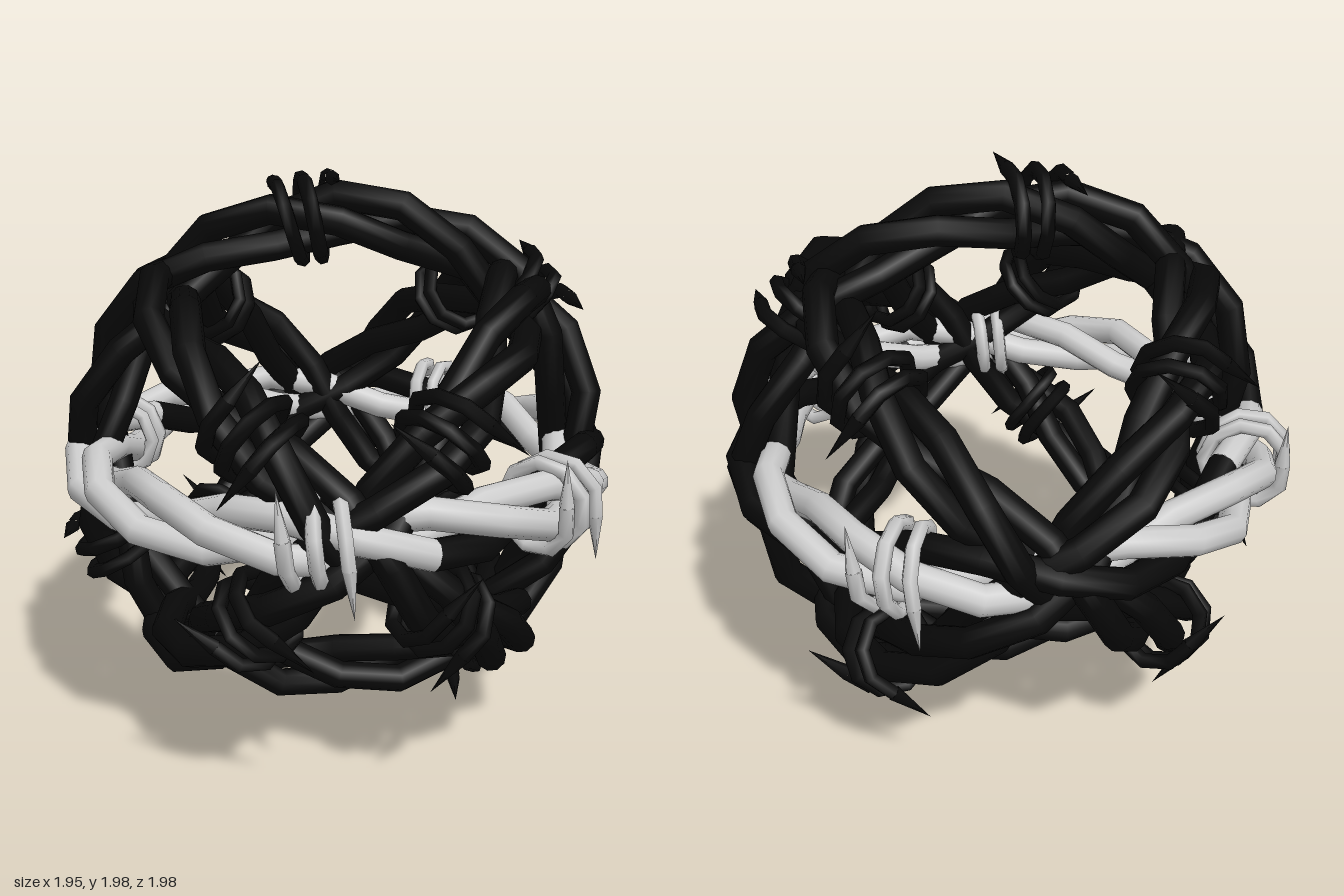
import * as THREE from 'three';

const RING = 0.853, TWISTS = 4;
const WIRE_OFFSET = 0.074, WIRE_RADIUS = 0.052;
const BARB_ANGLES = [41, 97, 200, 302];
const black = new THREE.MeshStandardMaterial({ color: 0x080808 });
const grey = new THREE.MeshStandardMaterial({ color: 0xcccccc });
const rad = THREE.MathUtils.degToRad;

// point at angle a along the ring, offset by radius r at angle b around it
const ringPoint = (a, r, b) => {
  const d = RING + r * Math.cos(b);
  return new THREE.Vector3(d * Math.cos(a), d * Math.sin(a), r * Math.sin(b));
};

class Strand extends THREE.Curve {
  constructor(phase, from, to, offset) {
    super();
    Object.assign(this, { phase, from, to, offset });
  }
  getPoint(t) {
    const a = this.from + (this.to - this.from) * t;
    return ringPoint(a + this.offset, WIRE_OFFSET, this.phase - TWISTS * a);
  }
}

function mesh(geometry, material, name) {
  const m = new THREE.Mesh(geometry, material);
  m.name = name;
  return m;
}

// one of the three twisted wires, between two angles along the ring
function strand(index, from, to, offset, material) {
  const path = new Strand(rad(96 + index * 120), rad(from), rad(to), rad(offset));
  const segments = Math.round((to - from) / 15);
  return mesh(new THREE.TubeGeometry(path, segments, WIRE_RADIUS, 10, to - from === 360), material, 'wireStrand');
}

// wire coiled twice around the ring, with a sharp spike at each end
function barb(angle, material) {
  const group = new THREE.Group();
  group.name = 'barb';
  const turns = 2.1, steps = 19, width = 0.17, r = 0.14, thick = 0.026, length = 0.16;
  const points = [];
  for (let i = 0; i <= steps; i++) {
    const t = i / steps - 0.5;
    points.push(ringPoint(angle + (t * width) / RING, r, -t * turns * Math.PI * 2));
  }
  const path = new THREE.CatmullRomCurve3(points);
  group.add(mesh(new THREE.TubeGeometry(path, steps, thick, 6), material, 'barbCoil'));
  for (const end of [0, 1]) {
    const dir = path.getTangent(end).multiplyScalar(end ? 1 : -1);
    const spike = mesh(new THREE.ConeGeometry(thick, length, 6), material, 'barbSpike');
    spike.quaternion.setFromUnitVectors(new THREE.Vector3(0, 1, 0), dir);
    spike.position.copy(path.getPoint(end)).addScaledVector(dir, length / 2);
    group.add(spike);
  }
  return group;
}

function barbs(ring, offset, material) {
  for (const a of BARB_ANGLES) ring.add(barb(rad(a + offset), material));
}

// black ring of three twisted wires
function blackRing(name, offset) {
  const ring = new THREE.Group();
  ring.name = name;
  for (let i = 0; i < 3; i++) ring.add(strand(i, 0, 360, offset, black));
  barbs(ring, offset, black);
  return ring;
}

// grey ring of three twisted wires, one of them blackened on one side
function greyRing() {
  const ring = new THREE.Group();
  ring.name = 'greyRing';
  ring.add(strand(0, 0, 360, 0, grey), strand(1, 0, 360, 0, grey));
  ring.add(strand(2, 75, 210, 0, grey), strand(2, 210, 435, 0, black));
  barbs(ring, 0, grey);
  return ring;
}

export function createModel() {
  const model = new THREE.Group();
  model.name = 'barbedWireSphere';

  const upright = blackRing('uprightRing', 0);
  const level = greyRing();
  level.rotation.x = Math.PI / 2;
  model.add(upright, level);

  // pair of rings tilted either way about the front-to-back axis
  for (const side of [1, -1]) {
    const tilted = blackRing(side > 0 ? 'tiltedRingLeft' : 'tiltedRingRight', 22);
    tilted.rotation.set(Math.PI / 2, 0, (side * Math.PI) / 4, 'ZXY');
    model.add(tilted);
  }

  for (const ring of model.children) ring.position.y = 1;
  return model;
}
